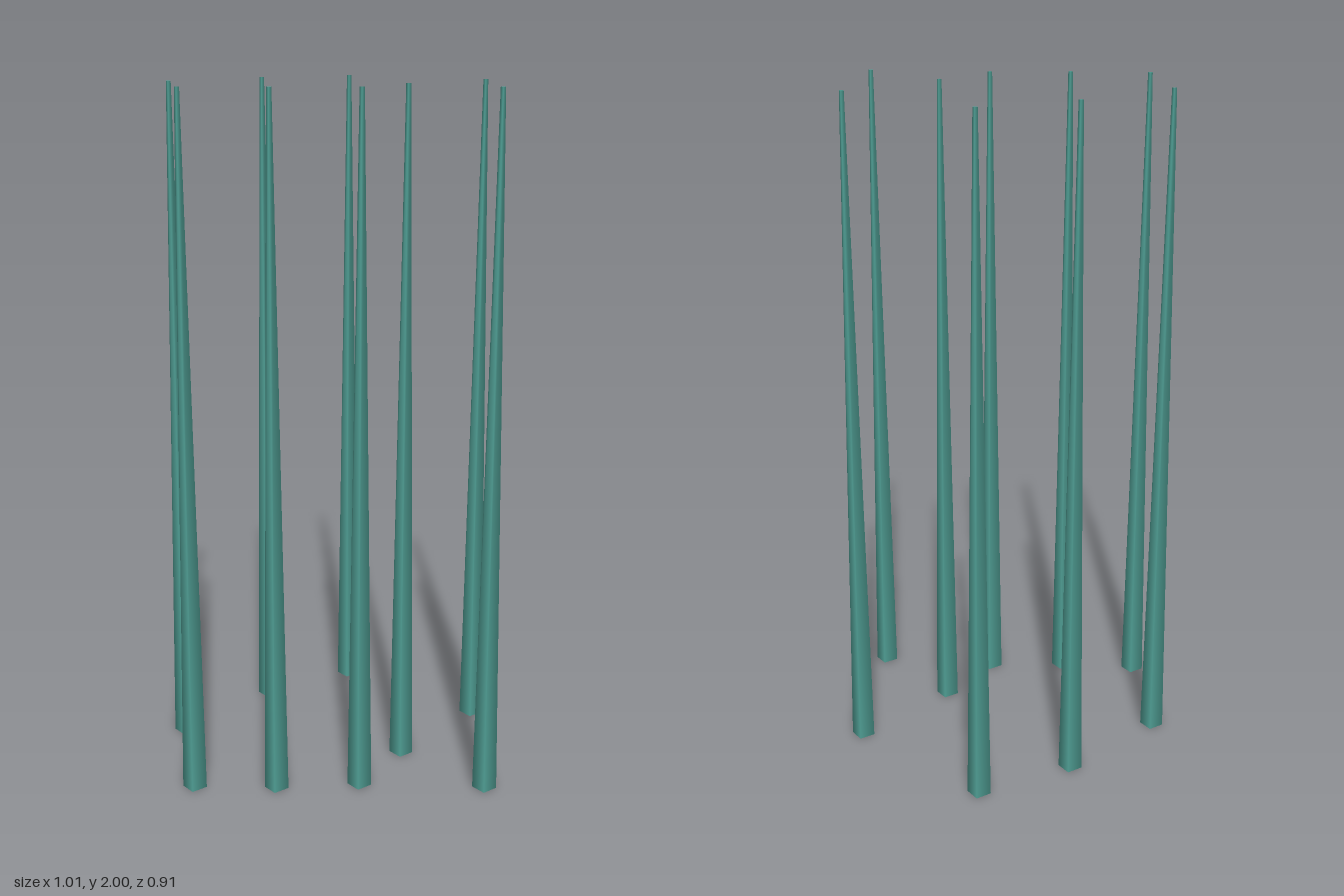
import * as THREE from 'three';

export function createModel() {
  const model = new THREE.Group();
  model.name = 'spikes';

  const teal = new THREE.MeshStandardMaterial({ color: 0x4f9d93 });
  teal.name = 'teal';

  // Tall four-sided tapering spike, corners along x and z
  const height = 2;
  const spike = new THREE.CylinderGeometry(0.007, 0.035, height, 4);

  // Scattered ground positions: x, z
  const spots = [
    [-0.01, -0.423], [-0.253, -0.234], [0.416, -0.166],
    [-0.471, 0.064], [0.213, 0.137], [-0.369, 0.422],
    [-0.131, 0.401], [0.107, 0.354], [0.471, 0.331],
  ];
  spots.forEach(([x, z], i) => {
    const mesh = new THREE.Mesh(spike, teal);
    mesh.name = `spike${i + 1}`;
    mesh.position.set(x, height / 2, z);
    model.add(mesh);
  });

  return model;
}
